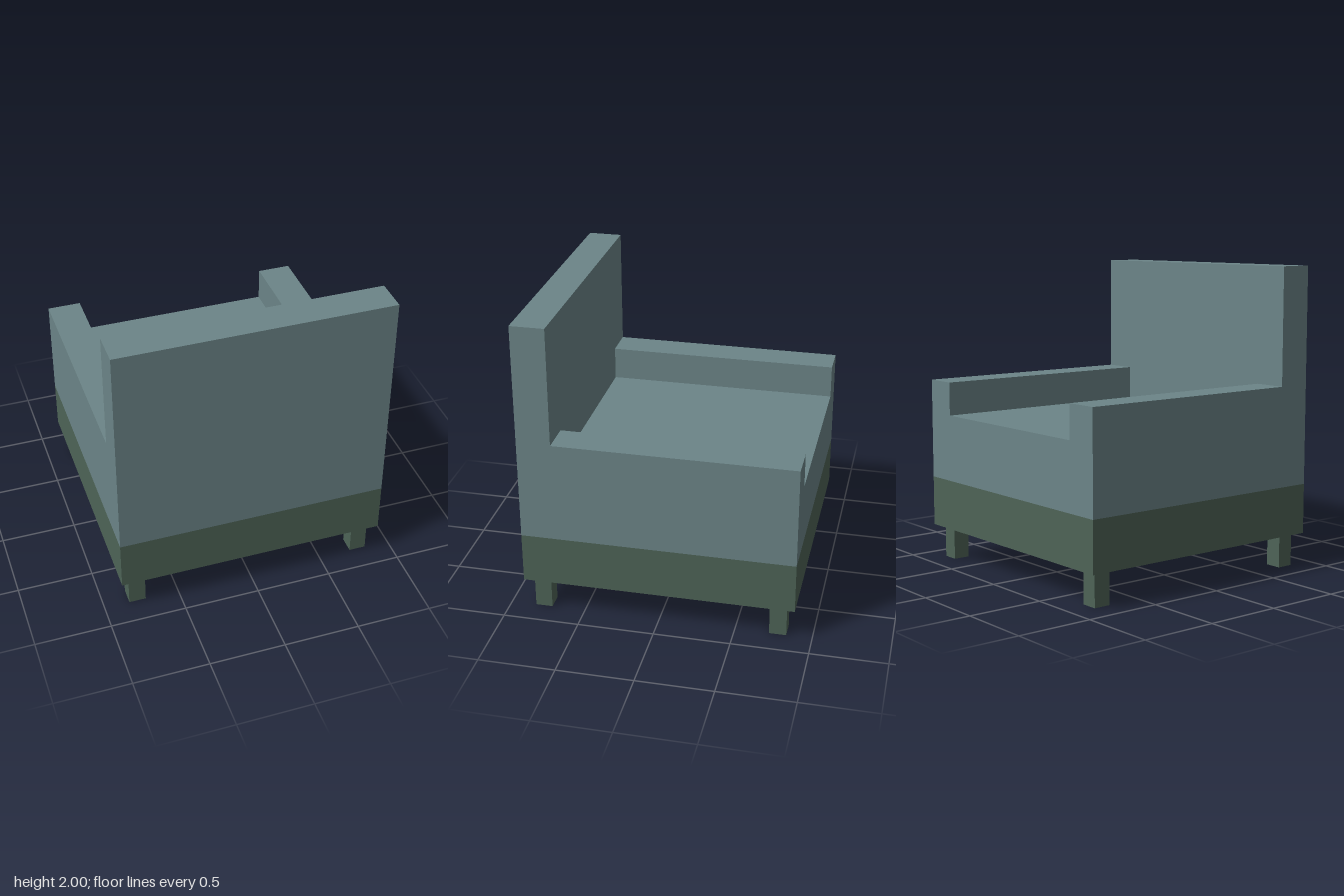
import * as THREE from 'three';

const U = 1 / 9; // the chair is laid out on a grid of ninths

export function createModel() {
  const chair = new THREE.Group();
  chair.name = 'armchair';
  const fabric = new THREE.MeshStandardMaterial({ color: 0x6c8588, flatShading: true });
  const frame = new THREE.MeshStandardMaterial({ color: 0x4e6457, flatShading: true });

  // Box given by its extents in grid units
  function block(name, material, [x0, x1], [y0, y1], [z0, z1]) {
    const geometry = new THREE.BoxGeometry((x1 - x0) * U, (y1 - y0) * U, (z1 - z0) * U);
    const mesh = new THREE.Mesh(geometry, material);
    mesh.name = name;
    mesh.position.set((x0 + x1) * U / 2, (y0 + y1) * U / 2, (z0 + z1) * U / 2);
    chair.add(mesh);
  }

  // Base frame, seat cushion and backrest
  block('baseFrame', frame, [-8, 8], [2, 5], [-8, 8]);
  block('seat', fabric, [-6, 6], [5, 9], [-8, 6]);
  block('backrest', fabric, [-8, 8], [5, 18], [6, 8]);

  // Armrests on both sides
  block('leftArmrest', fabric, [6, 8], [5, 11], [-8, 6]);
  block('rightArmrest', fabric, [-8, -6], [5, 11], [-8, 6]);

  // Four square legs set in from the corners
  for (const x of [-7, 7]) {
    for (const z of [-7, 7]) {
      const name = (z > 0 ? 'front' : 'back') + (x > 0 ? 'Left' : 'Right') + 'Leg';
      block(name, frame, [x - 0.5, x + 0.5], [0, 2], [z - 0.5, z + 0.5]);
    }
  }
  return chair;
}
